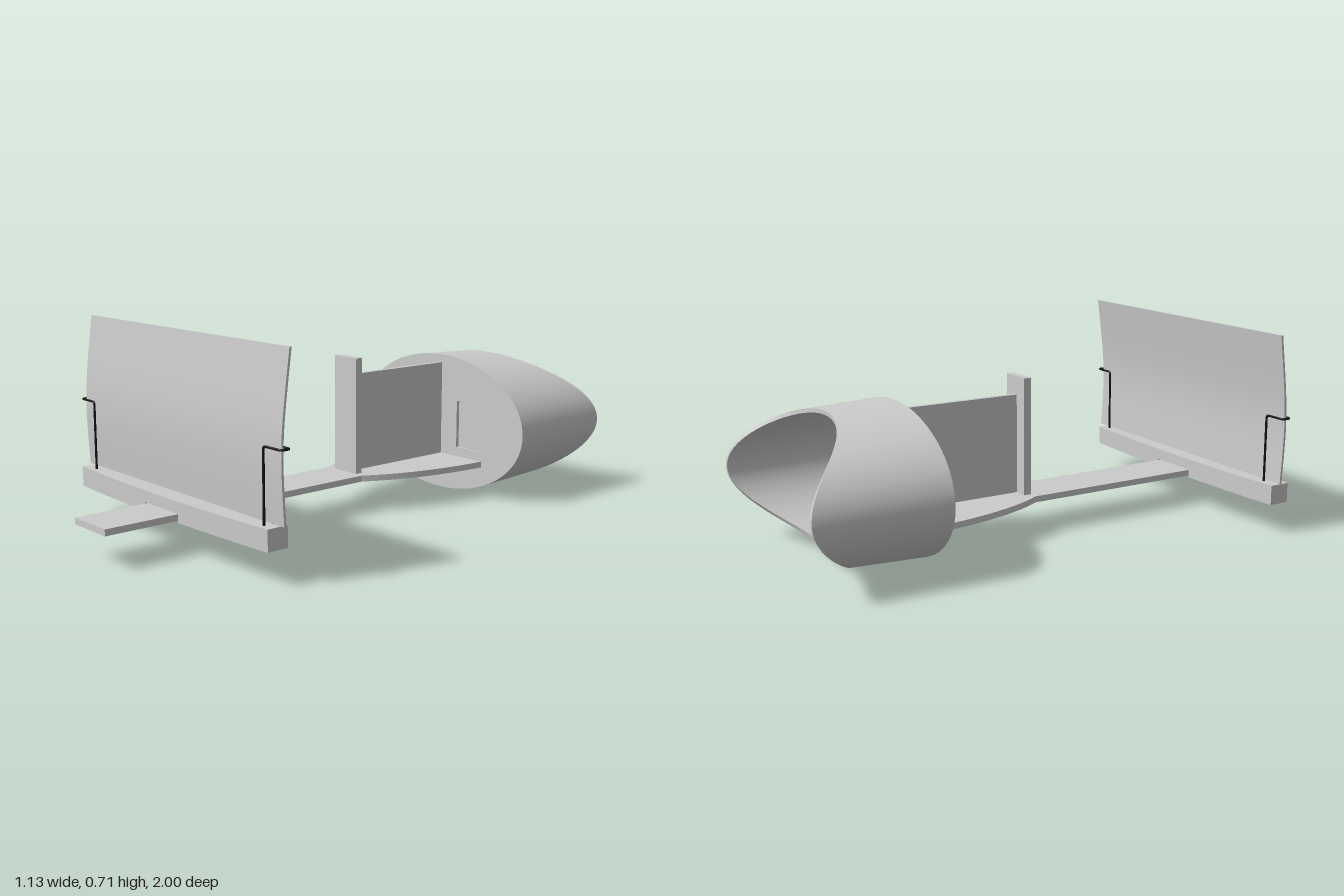
import * as THREE from 'three';
import { toCreasedNormals } from 'three/addons/utils/BufferGeometryUtils.js';

const grey = new THREE.MeshStandardMaterial({ color: 0xcccccc });
const black = new THREE.MeshStandardMaterial({ color: 0x111111 });
const CX = -0.012; // centre line of the wooden body
const EYE = { y: 0.26, rx: 0.418, ry: 0.26, z: -0.54, wall: 0.014 };

function add(group, name, geometry, material = grey) {
  const mesh = new THREE.Mesh(geometry, material);
  mesh.name = name;
  group.add(mesh);
  return mesh;
}

// Box given by its min and max corners
function box(group, name, x0, x1, y0, y1, z0, z1) {
  add(group, name, new THREE.BoxGeometry(x1 - x0, y1 - y0, z1 - z0))
    .position.set((x0 + x1) / 2, (y0 + y1) / 2, (z0 + z1) / 2);
}

// Slab with a plan outline drawn as (x, -z), standing between y0 and y1
function slab(shape, y0, y1) {
  const g = new THREE.ExtrudeGeometry(shape, { depth: y1 - y0, bevelEnabled: false, curveSegments: 16 });
  g.rotateX(-Math.PI / 2).translate(0, y0, 0);
  return toCreasedNormals(g, 0.5);
}

// Oval hood whose back edge is scooped out to fit a face
function hoodGeometry() {
  const n = 96, pos = [], idx = [];
  const rings = [[EYE.wall, 0], [0, 0], [0, 0.5], [0, 1], [EYE.wall, 1], [EYE.wall, 0.5], [EYE.wall, 0]];
  rings.forEach(([inset, u], i) => {
    for (let j = 0; j <= n; j++) {
      const t = (j / n) * Math.PI * 2;
      const s = Math.sin(t) - 0.04;
      const reach = 0.235 + 0.225 * Math.pow(Math.max(0, 1 - s * s), 1.2);
      const taper = 1 - 0.04 * u;
      pos.push(
        CX + (EYE.rx * taper - inset) * Math.cos(t),
        EYE.y + (EYE.ry * taper - inset) * Math.sin(t),
        EYE.z - reach * u);
      if (i < rings.length - 1 && j < n) {
        const a = i * (n + 1) + j, b = a + n + 1;
        idx.push(a, b, b + 1, a, b + 1, a + 1);
      }
    }
  });
  const g = new THREE.BufferGeometry();
  g.setAttribute('position', new THREE.Float32BufferAttribute(pos, 3));
  g.setIndex(idx);
  return toCreasedNormals(g, 0.6);
}

// Oval plate with two square windows
function plateGeometry() {
  const shape = new THREE.Shape();
  shape.absellipse(CX, EYE.y, EYE.rx - EYE.wall, EYE.ry - EYE.wall, 0, Math.PI * 2);
  for (const side of [-1, 1]) {
    const x0 = CX + side * 0.18 - 0.09, y0 = EYE.y - 0.09;
    shape.holes.push(new THREE.Path([
      new THREE.Vector2(x0, y0), new THREE.Vector2(x0, y0 + 0.18),
      new THREE.Vector2(x0 + 0.18, y0 + 0.18), new THREE.Vector2(x0 + 0.18, y0)]));
  }
  const g = new THREE.ExtrudeGeometry(shape, { depth: 0.03, bevelEnabled: false, curveSegments: 96 });
  g.translate(0, 0, EYE.z - 0.03);
  return toCreasedNormals(g, 0.5);
}

// Wedge lens, thicker towards the outside
function lensGeometry(side) {
  const inner = CX + side * 0.09, outer = CX + side * 0.27;
  return slab(new THREE.Shape([
    new THREE.Vector2(inner, 0.553), new THREE.Vector2(outer, 0.541),
    new THREE.Vector2(outer, 0.565), new THREE.Vector2(inner, 0.562)]), EYE.y - 0.09, EYE.y + 0.09);
}

// Length of the crossbar, with bowed front and back
function crossbarPiece(x0, x1, y0, y1) {
  const n = 24, front = [], back = [];
  for (let i = 0; i <= n; i++) {
    const x = x0 + (x1 - x0) * i / n;
    const bow = 0.02 * (1 - ((x - CX) / 0.533) ** 2);
    front.push(new THREE.Vector2(x, -(0.72 + bow)));
    back.unshift(new THREE.Vector2(x, 0.02 - 0.665 + bow));
  }
  return slab(new THREE.Shape([...front, ...back]), y0, y1);
}

// Thin card with a gentle backward curve
function cardGeometry() {
  const curve = new THREE.SplineCurve([[0.677, 0.183], [0.684, 0.3], [0.686, 0.4], [0.679, 0.51], [0.653, 0.71]]
    .map(p => new THREE.Vector2(...p)));
  const pts = curve.getPoints(20), half = 0.004;
  const shape = new THREE.Shape([
    ...pts.map(p => new THREE.Vector2(p.x + half, p.y)),
    ...pts.reverse().map(p => new THREE.Vector2(p.x - half, p.y))]);
  const g = new THREE.ExtrudeGeometry(shape, { depth: 1.105, bevelEnabled: false });
  g.rotateY(-Math.PI / 2).translate(0.55, 0, 0);
  return toCreasedNormals(g, 0.5);
}

// Bent wire: straight runs joined by small rounded corners
function wireGeometry(points, radius, corner) {
  const path = new THREE.CurvePath();
  let from = points[0];
  for (let i = 1; i < points.length; i++) {
    const p = points[i], next = points[i + 1];
    if (!next) { path.add(new THREE.LineCurve3(from, p)); break; }
    const a = p.clone().add(points[i - 1].clone().sub(p).setLength(corner));
    const b = p.clone().add(next.clone().sub(p).setLength(corner));
    path.add(new THREE.LineCurve3(from, a));
    path.add(new THREE.QuadraticBezierCurve3(a, p, b));
    from = b;
  }
  return new THREE.TubeGeometry(path, 160, radius, 8);
}

export function createModel() {
  const model = new THREE.Group();

  // Eyepiece
  add(model, 'hood', hoodGeometry());
  add(model, 'lensPlate', plateGeometry());
  for (const side of [-1, 1]) add(model, side > 0 ? 'leftLens' : 'rightLens', lensGeometry(side));

  // Long rail flaring into the base below the eyepiece
  const rail = new THREE.Shape();
  rail.moveTo(CX - 0.09, -1);
  rail.lineTo(CX + 0.09, -1);
  rail.lineTo(CX + 0.09, 0.05);
  rail.quadraticCurveTo(CX + 0.205, 0.245, CX + 0.22, 0.545);
  rail.lineTo(CX - 0.22, 0.545);
  rail.quadraticCurveTo(CX - 0.205, 0.245, CX - 0.09, 0.05);
  rail.closePath();
  add(model, 'rail', slab(rail, 0.113, 0.135));

  // Divider between the eyes and its end post
  box(model, 'divider', CX - 0.009, CX + 0.009, 0.135, 0.49, -0.545, -0.08);
  box(model, 'dividerPost', CX - 0.058, CX + 0.058, 0.135, 0.555, -0.08, -0.052);

  // Sliding card holder, notched to straddle the rail
  const holder = new THREE.Group();
  holder.name = 'cardHolder';
  model.add(holder);
  const x0 = CX - 0.533, x1 = CX + 0.533;
  add(holder, 'crossbar', crossbarPiece(x0, x1, 0.138, 0.178));
  add(holder, 'rightCrossbarFoot', crossbarPiece(x0, CX - 0.096, 0.108, 0.138));
  add(holder, 'leftCrossbarFoot', crossbarPiece(CX + 0.096, x1, 0.108, 0.138));
  add(holder, 'card', cardGeometry());

  // Wire loops that grip the card
  for (const side of [-1, 1]) {
    const points = [
      [0.48, 0.15, 0.701], [0.48, 0.417, 0.701], [0.563, 0.417, 0.701],
      [0.563, 0.417, 0.667], [0.48, 0.417, 0.667], [0.48, 0.15, 0.667],
    ].map(([x, y, z]) => new THREE.Vector3(side * x, y, z));
    add(holder, side > 0 ? 'leftWire' : 'rightWire', wireGeometry(points, 0.004, 0.012), black);
  }
  return model;
}
